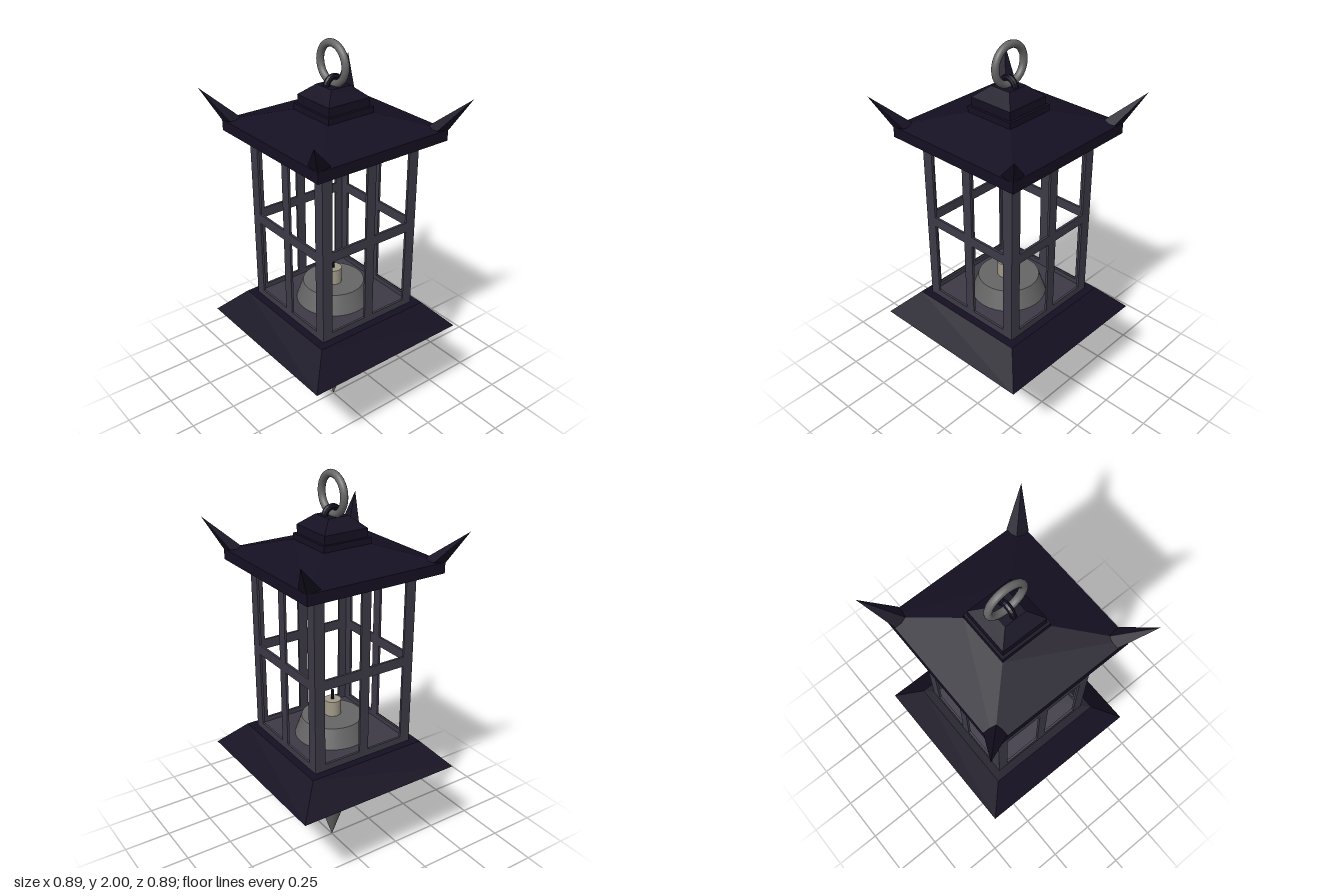
import * as THREE from 'three';
import { ConvexGeometry } from 'three/addons/geometries/ConvexGeometry.js';

const mat = (color, extra = {}) => new THREE.MeshStandardMaterial({ color, ...extra });

export function createModel() {
  const group = new THREE.Group();
  const dark = mat(0x151022, { flatShading: true });
  const frameMat = mat(0x3d3a47, { flatShading: true });
  const metal = mat(0x666666);
  const wax = mat(0xa09a88);

  const add = (name, geometry, material, x = 0, y = 0, z = 0) => {
    const mesh = new THREE.Mesh(geometry, material);
    mesh.name = name;
    mesh.position.set(x, y, z);
    group.add(mesh);
    return mesh;
  };

  // Square solid from [half width, height] pairs, listed bottom to top
  const squareLathe = (profile) => new THREE.LatheGeometry(
    profile.map(([w, y]) => new THREE.Vector2(w * Math.SQRT2, y)), 4, Math.PI / 4);

  // Hanging finial: pointed cone under a flattened bulb
  const tip = new THREE.ConeGeometry(0.105, 0.32, 32);
  tip.rotateX(Math.PI);
  add('finialCone', tip, metal, 0, 0.16, 0);
  add('finialBulb', new THREE.SphereGeometry(1, 32, 16), metal, 0, 0.4, 0).scale.set(0.257, 0.106, 0.257);

  // Flared tray with the floor of the cage
  add('base', squareLathe([[0, 0.455], [0.3, 0.455], [0.443, 0.52], [0.32, 0.65], [0, 0.65]]), dark);
  add('floor', new THREE.BoxGeometry(0.54, 0.01, 0.54), frameMat, 0, 0.655, 0);

  // Four thin window panels, each with four openings
  const rect = (Type, x0, y0, x1, y1) => new Type().moveTo(x0, y0).lineTo(x1, y0)
    .lineTo(x1, y1).lineTo(x0, y1).closePath();
  const panel = rect(THREE.Shape, -0.28, 0.65, 0.28, 1.55);
  for (const [x0, x1] of [[-0.225, -0.025], [0.025, 0.225]]) {
    for (const [y0, y1] of [[0.685, 1.08], [1.13, 1.515]]) {
      panel.holes.push(rect(THREE.Path, x0, y0, x1, y1));
    }
  }
  const panelGeometry = new THREE.ExtrudeGeometry(panel, { depth: 0.012, bevelEnabled: false });
  panelGeometry.translate(0, 0, 0.268);
  for (let i = 0; i < 4; i++) {
    add('windowPanel', panelGeometry, frameMat).rotation.y = i * Math.PI / 2;
  }

  // Candle on its holder
  add('candleHolder', new THREE.CylinderGeometry(0.155, 0.19, 0.1, 32), metal, 0, 0.71, 0);
  add('candle', new THREE.CylinderGeometry(0.043, 0.043, 0.09, 24), wax, -0.01, 0.795, 0.01);
  add('wick', new THREE.CylinderGeometry(0.008, 0.008, 0.05, 8), dark, -0.01, 0.865, 0.01);

  // Roof with eaves, stepped cap and upturned corners
  add('roof', squareLathe([[0, 1.55], [0.37, 1.55], [0.37, 1.603], [0.13, 1.67], [0, 1.67]]), dark);
  add('roofCap', squareLathe([[0, 1.66], [0.13, 1.66], [0.13, 1.7], [0.117, 1.7],
    [0.117, 1.742], [0.055, 1.795], [0, 1.795]]), dark);
  for (const sx of [-1, 1]) {
    for (const sz of [-1, 1]) {
      const corners = [[0.443, 1.752, 0.443], [0.37, 1.6, 0.37], [0.3, 1.612, 0.37],
        [0.3, 1.612, 0.3], [0.37, 1.612, 0.3]];
      add('roofCorner', new ConvexGeometry(
        corners.map(([x, y, z]) => new THREE.Vector3(x * sx, y, z * sz))), dark);
    }
  }

  // Staple and hanging ring
  add('staple', new THREE.TorusGeometry(0.04, 0.015, 8, 12, Math.PI), dark, 0, 1.792, 0);
  add('hangingRing', new THREE.TorusGeometry(0.091, 0.018, 12, 36), metal, 0, 1.891, -0.006)
    .rotation.y = Math.PI / 2;

  return group;
}
